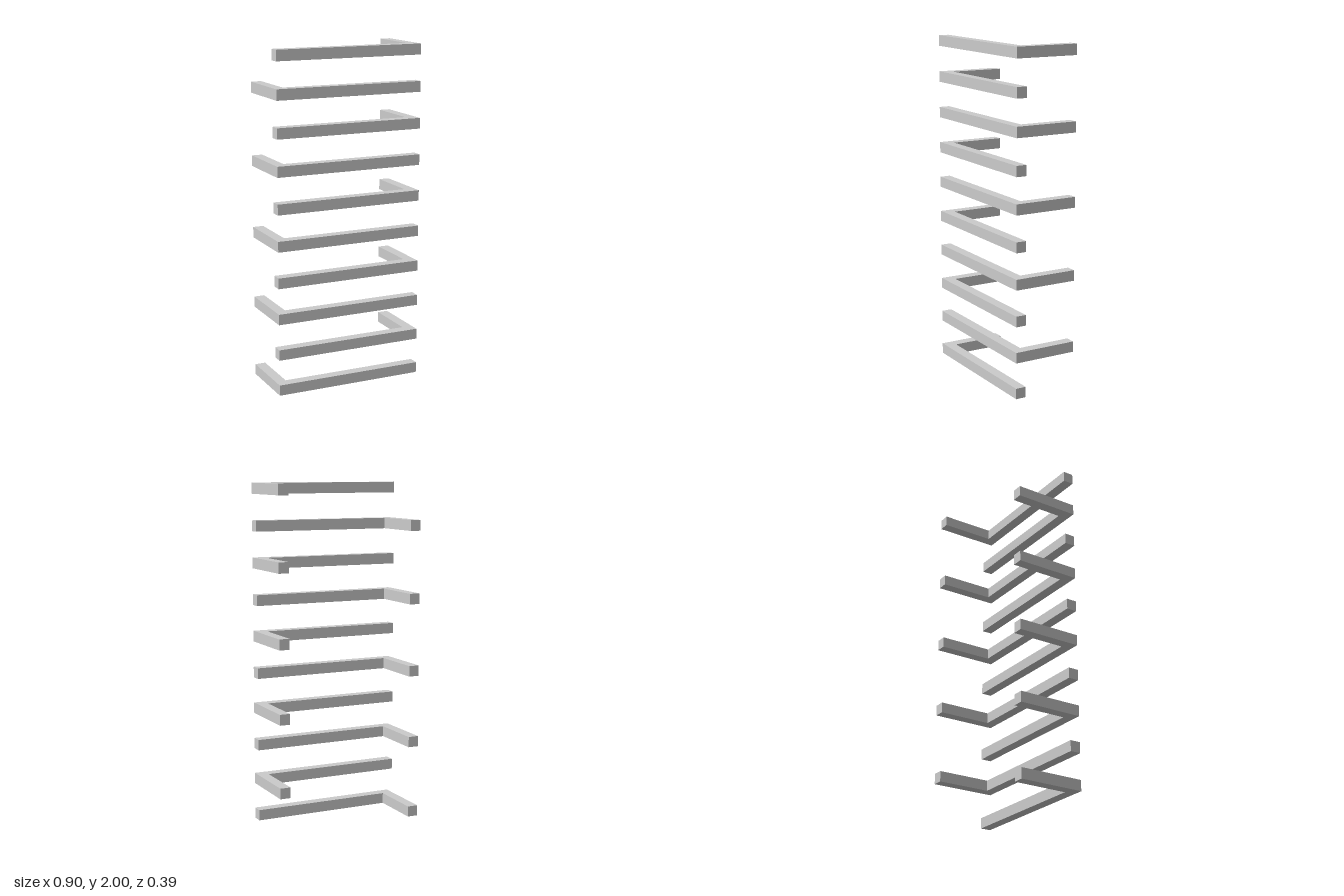
import * as THREE from 'three';

const COUNT = 10;
const THICK = 0.063;   // square bar section
const HALF_W = 0.45;
const HALF_D = 0.193;
const PITCH = (2 - THICK) / (COUNT - 1);

// L-shaped bar: long run along the front, short arm going back on one side (+1 or -1)
function angleBarGeometry(side) {
  const outline = [
    [-HALF_W, HALF_D], [HALF_W, HALF_D], [HALF_W, -HALF_D],
    [HALF_W - THICK, -HALF_D], [HALF_W - THICK, HALF_D - THICK], [-HALF_W, HALF_D - THICK],
  ].map(([x, z]) => new THREE.Vector2(x * side, z));
  const geometry = new THREE.ExtrudeGeometry(new THREE.Shape(outline), { depth: THICK, bevelEnabled: false });
  // lay the outline flat, with its underside at y = 0
  return geometry.rotateX(Math.PI / 2).translate(0, THICK, 0);
}

export function createModel() {
  const model = new THREE.Group();
  model.name = 'stackedAngleBars';
  const material = new THREE.MeshStandardMaterial({ color: 0xcccccc, flatShading: true });
  const rightArm = angleBarGeometry(-1);
  const leftArm = angleBarGeometry(1);

  // Arms alternate sides from the bottom up
  for (let i = 0; i < COUNT; i++) {
    const isRight = i % 2 === 0;
    const bar = new THREE.Mesh(isRight ? rightArm : leftArm, material);
    bar.name = `${isRight ? 'right' : 'left'}AngleBar${i + 1}`;
    bar.position.y = i * PITCH;
    model.add(bar);
  }
  return model;
}
